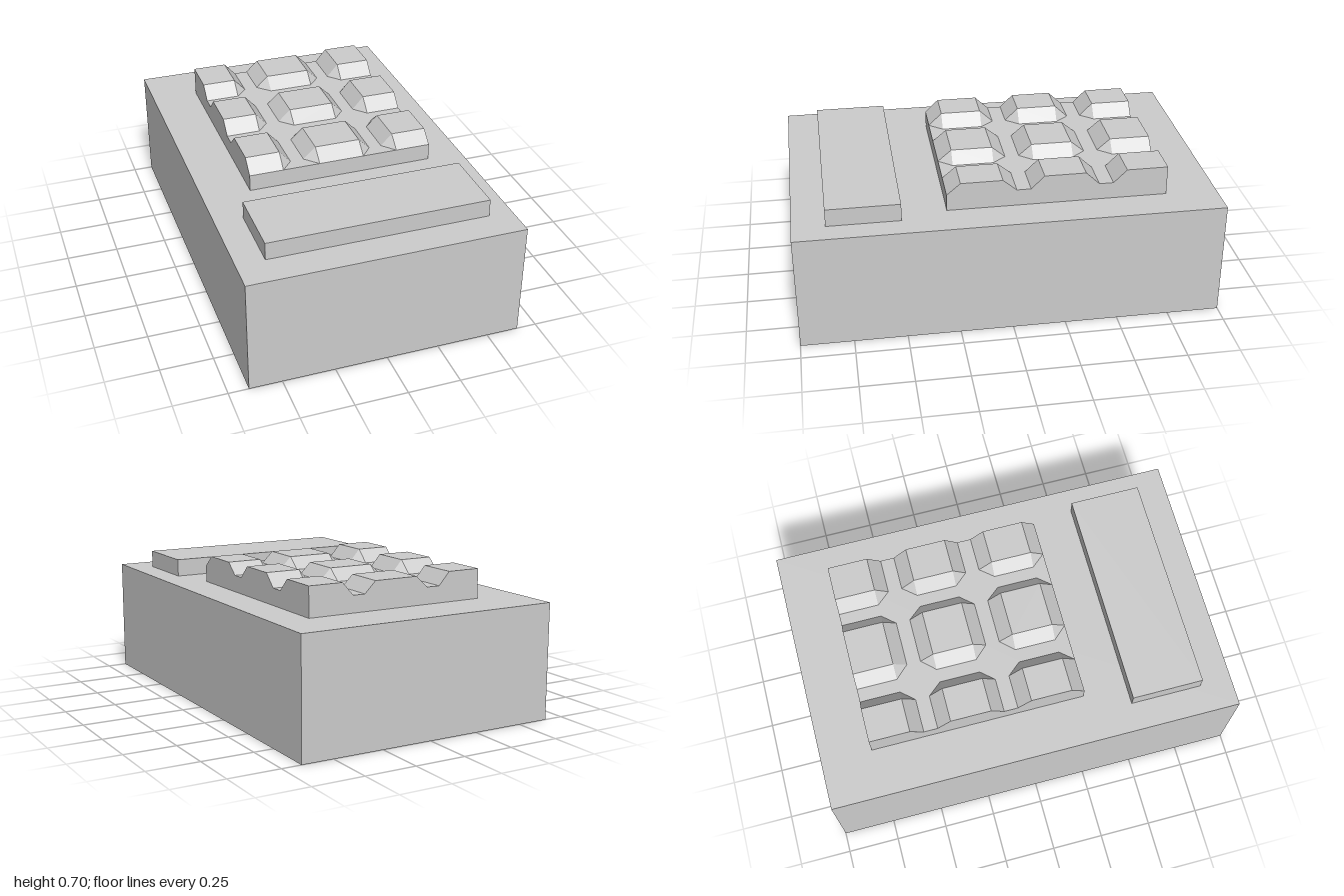
import * as THREE from 'three';
import { ConvexGeometry } from 'three/addons/geometries/ConvexGeometry.js';

const material = new THREE.MeshStandardMaterial({ color: 0xcccccc, flatShading: true });

// Box given by its extents on each axis
function block(name, [x0, x1], [y0, y1], [z0, z1]) {
  const mesh = new THREE.Mesh(new THREE.BoxGeometry(x1 - x0, y1 - y0, z1 - z0), material);
  mesh.position.set((x0 + x1) / 2, (y0 + y1) / 2, (z0 + z1) / 2);
  mesh.name = name;
  return mesh;
}

// Key with sloped sides and cut corners; spans are [baseMin, topMin, topMax, baseMax]
function key(name, xs, zs, bottom, top) {
  const points = [];
  const add = (x, y, z) => {
    const p = new THREE.Vector3(x, y, z);
    if (!points.some((q) => q.equals(p))) points.push(p);
  };
  for (const i of [0, 1]) {
    for (const j of [0, 1]) {
      const bx = xs[i * 3], tx = xs[1 + i];
      const bz = zs[j * 3], tz = zs[1 + j];
      add(tx, top, tz);
      add(bx, bottom, tz);
      add(tx, bottom, bz);
    }
  }
  const mesh = new THREE.Mesh(new ConvexGeometry(points), material);
  mesh.name = name;
  return mesh;
}

export function createModel() {
  const model = new THREE.Group();
  model.name = 'keypadBlock';

  // Main body and the plain raised plate at the front
  model.add(block('body', [-0.655, 0.655], [0, 0.56], [-1, 1]));
  model.add(block('frontPlate', [-0.52, 0.54], [0.56, 0.645], [0.5, 0.845]));

  // Keypad slab with a 3 x 3 set of keys; outer edges at left, right and back are vertical
  const keypad = new THREE.Group();
  keypad.name = 'keypad';
  keypad.add(block('keypadBase', [-0.425, 0.48], [0.56, 0.64], [-0.755, 0.287]));
  const columns = [
    [-0.425, -0.425, -0.26, -0.205],
    [-0.14, -0.08, 0.14, 0.195],
    [0.255, 0.31, 0.48, 0.48],
  ];
  const rows = [
    [-0.755, -0.755, -0.56, -0.497],
    [-0.43, -0.365, -0.17, -0.107],
    [-0.04, 0.025, 0.222, 0.287],
  ];
  rows.forEach((zs, r) => columns.forEach((xs, c) => {
    const low = c === 1 || (r === 2 && c === 2);
    keypad.add(key(`key${r * 3 + c + 1}`, xs, zs, 0.64, low ? 0.695 : 0.702));
  }));
  model.add(keypad);
  return model;
}
